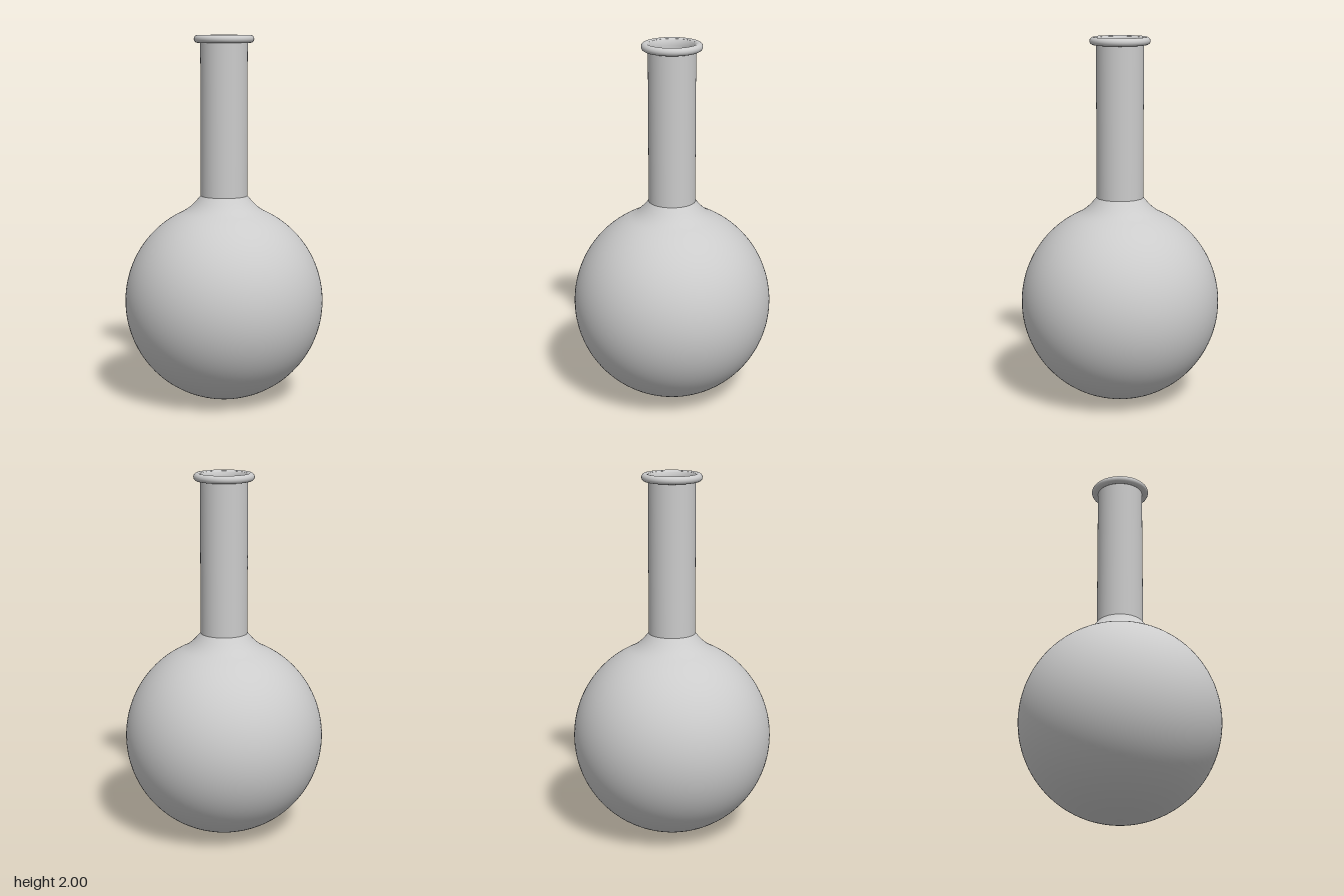
import * as THREE from 'three';

const SEGMENTS = 96;
const R = 0.545;       // bulb radius, also its centre height
const NECK_R = 0.128;
const NECK_BASE = 1.13;
const WALL = 0.016;

// Bulb profile from the bottom pole up through the flared shoulder
function bulbProfile(inset) {
  const r = R - inset;
  const end = Math.PI - Math.asin(0.24 / R);
  const points = [];
  for (let i = 0; i <= 56; i++) {
    const a = (end * i) / 56;
    points.push(new THREE.Vector2(r * Math.sin(a), R - r * Math.cos(a)));
  }
  const shoulder = new THREE.CubicBezierCurve(
    points[points.length - 1],
    new THREE.Vector2(0.19 - inset, 1.058 - inset),
    new THREE.Vector2(0.165 - inset, 1.085),
    new THREE.Vector2(NECK_R - inset, NECK_BASE)
  );
  return points.concat(shoulder.getPoints(10).slice(1));
}

export function createModel() {
  const group = new THREE.Group();
  const material = new THREE.MeshStandardMaterial({ color: 0xcccccc, side: THREE.DoubleSide });

  const add = (name, geometry) => {
    const mesh = new THREE.Mesh(geometry, material);
    mesh.name = name;
    group.add(mesh);
    return mesh;
  };
  const lathe = (name, points) => add(name, new THREE.LatheGeometry(points, SEGMENTS));

  // Round bulb, outer skin and inner skin
  lathe('bulb', bulbProfile(0));
  lathe('bulbInside', bulbProfile(WALL).reverse());

  // Straight neck with a slightly widened mouth inside
  lathe('neck', [new THREE.Vector2(NECK_R, NECK_BASE), new THREE.Vector2(NECK_R, 1.995)]);
  lathe('neckInside', [
    new THREE.Vector2(0.122, 1.985),
    new THREE.Vector2(NECK_R - WALL, 1.96),
    new THREE.Vector2(NECK_R - WALL, NECK_BASE),
  ]);

  // Rolled lip
  const lip = add('lip', new THREE.TorusGeometry(0.142, 0.021, 20, SEGMENTS));
  lip.rotation.x = Math.PI / 2;
  lip.position.y = 1.979;

  return group;
}
